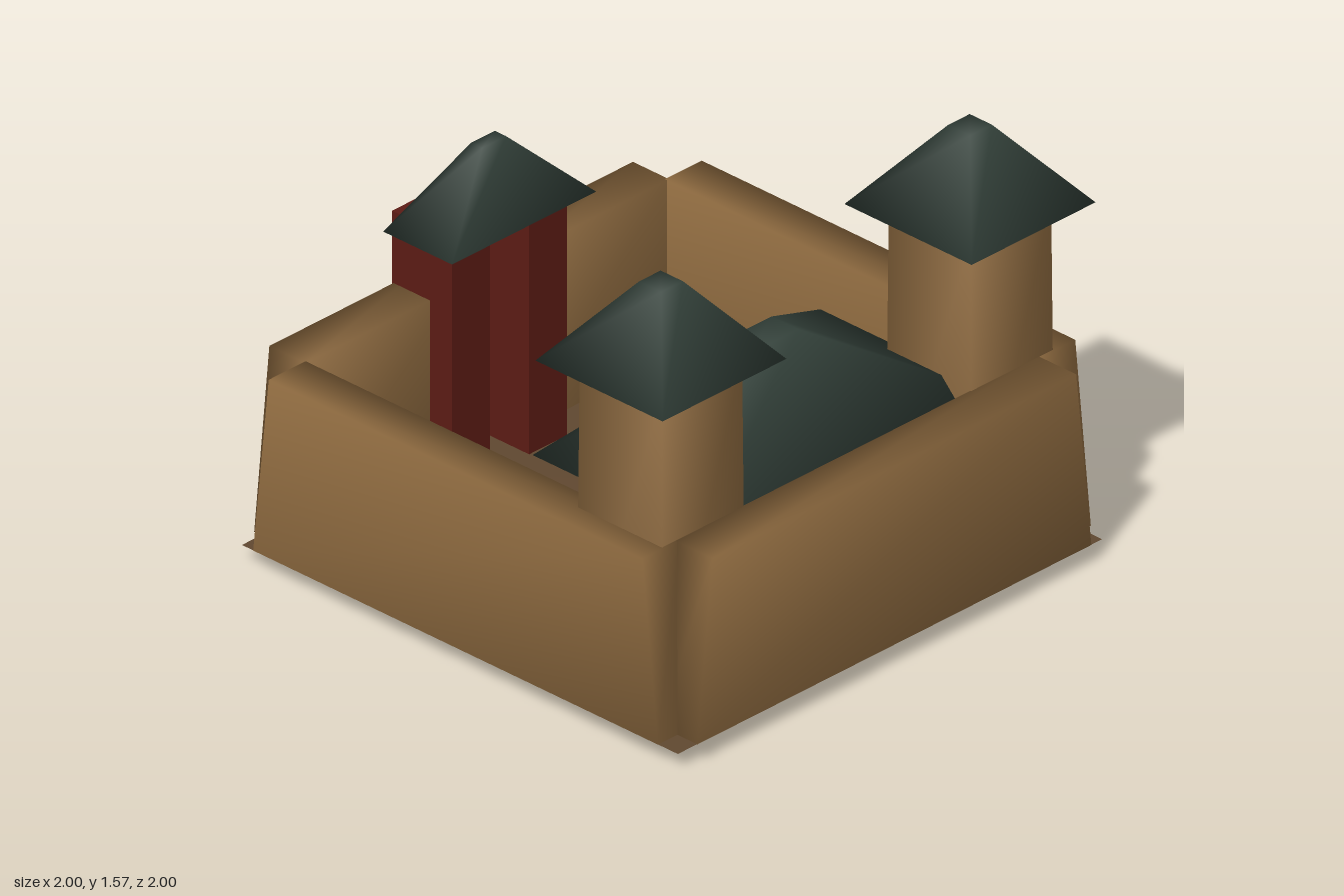
import * as THREE from 'three';
import { mergeVertices } from 'three/addons/utils/BufferGeometryUtils.js';

const mat = (color) => new THREE.MeshStandardMaterial({ color });

// Six-sided block between two rectangles [x0, x1, z0, z1], with soft shared normals
function block(name, y0, y1, bottom, top, material) {
  const box = new THREE.BoxGeometry(1, 1, 1);
  const p = box.attributes.position;
  for (let i = 0; i < p.count; i++) {
    const up = p.getY(i) > 0;
    const r = up ? top : bottom;
    p.setXYZ(i, p.getX(i) < 0 ? r[0] : r[1], up ? y1 : y0, p.getZ(i) < 0 ? r[2] : r[3]);
  }
  box.deleteAttribute('uv');
  box.deleteAttribute('normal');
  const geometry = mergeVertices(box);
  geometry.computeVertexNormals();
  const mesh = new THREE.Mesh(geometry, material);
  mesh.name = name;
  return mesh;
}

// Rectangle from centre and half sizes
const rect = (x, z, hx, hz) => [x - hx, x + hx, z - hz, z + hz];

export function createModel() {
  const castle = new THREE.Group();
  castle.name = 'castle';
  const stone = mat(0x8f6b40);
  const earth = mat(0x604830);
  const roof = mat(0x34423b);
  const red = mat(0x5c1c15);

  // Ground plate, wider at the top
  castle.add(block('groundPlate', 0, 0.06, rect(0, 0, 0.9, 0.9), rect(0, 0, 0.98, 0.98), earth));

  // Front and side walls, with ends sloping inwards
  const w0 = 0.075, w1 = 0.735;
  [['frontWall', 0], ['leftWall', Math.PI / 2], ['rightWall', -Math.PI / 2]].forEach(([name, turn]) => {
    const wall = block(name, w0, w1, [-0.91, 0.91, 0.83, 1], [-0.84, 0.84, 0.83, 1], stone);
    wall.rotation.y = turn;
    castle.add(wall);
  });

  // Back wall in two halves, leaving the gate passage open
  castle.add(block('backWallLeft', w0, w1, [0.15, 0.91, -0.993, -0.83], [0.15, 0.84, -0.993, -0.83], stone));
  castle.add(block('backWallRight', w0, w1, [-0.91, -0.15, -0.993, -0.83], [-0.84, -0.15, -0.993, -0.83], stone));

  // Corner towers at the front
  for (const s of [1, -1]) {
    const tower = new THREE.Group();
    tower.name = s > 0 ? 'leftTower' : 'rightTower';
    const x = 0.714 * s, z = 0.645;
    tower.add(block('towerBody', 0.06, 1.29, rect(x, z, 0.193, 0.193), rect(x, z, 0.185, 0.185), stone));
    tower.add(block('towerRoof', 1.28, 1.57, rect(x, z, 0.286, 0.286), rect(x, z, 0.05, 0.05), roof));
    castle.add(tower);
  }

  // Main hall behind the front wall
  const hall = new THREE.Group();
  hall.name = 'hall';
  hall.add(block('hallBody', 0.06, 0.67, rect(0, 0.4, 0.53, 0.28), rect(0, 0.4, 0.53, 0.28), stone));
  hall.add(block('hallRoof', 0.66, 0.985, rect(0, 0.4, 0.665, 0.38), rect(0, 0.4, 0.11, 0.06), roof));
  castle.add(hall);

  // Gate: two red piers under one roof
  const gate = new THREE.Group();
  gate.name = 'gate';
  for (const s of [1, -1]) {
    const r = rect(0.178 * s, -0.865, 0.088, 0.135);
    gate.add(block(s > 0 ? 'leftPier' : 'rightPier', 0.06, 1.0, r, r, red));
  }
  gate.children.forEach((pier) => {
    pier.geometry = pier.geometry.toNonIndexed();
    pier.geometry.computeVertexNormals();
  });
  gate.add(block('gateRoof', 0.96, 1.225, rect(0, -0.82, 0.333, 0.155), rect(0, -0.825, 0.055, 0.025), roof));
  castle.add(gate);

  return castle;
}
